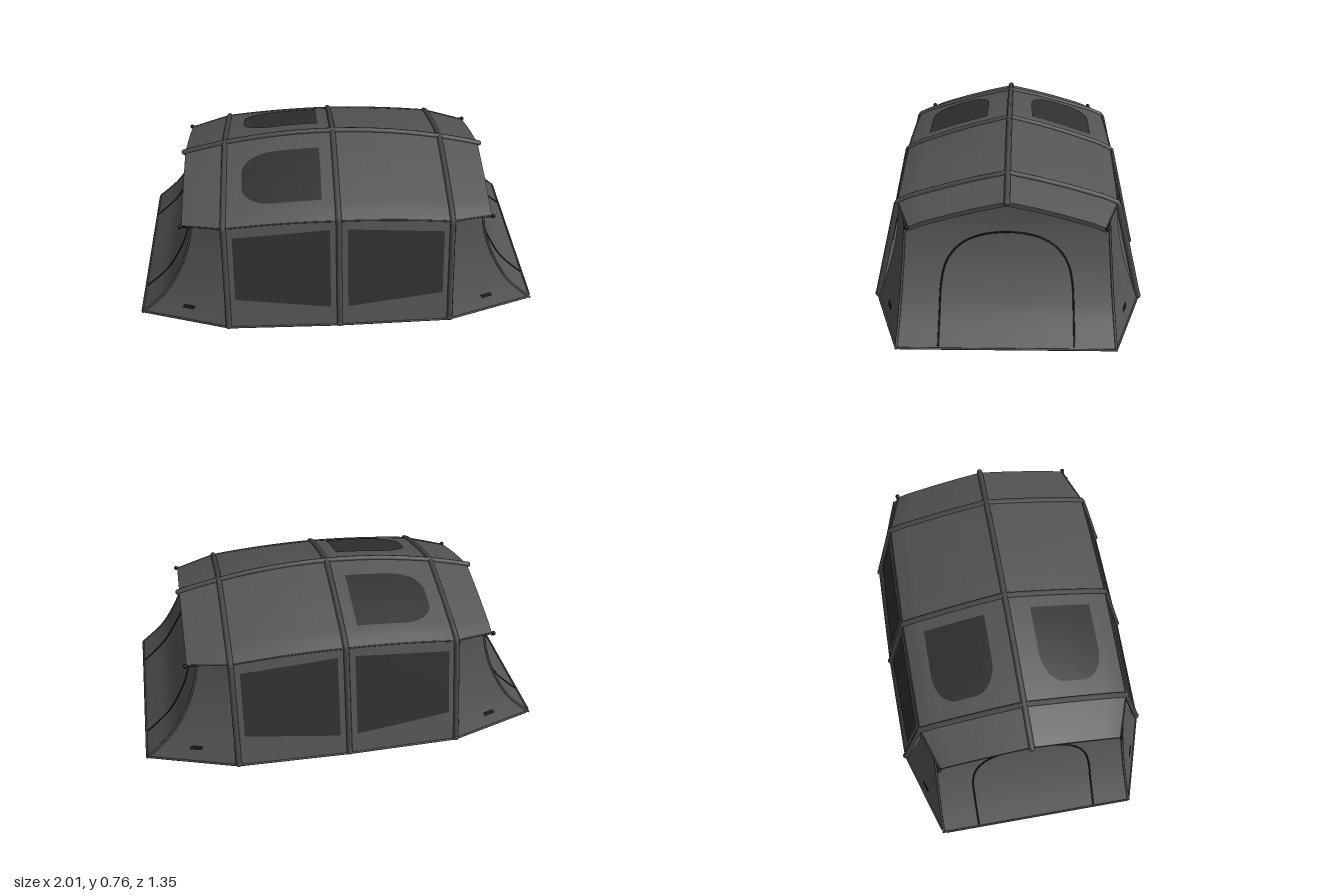
import * as THREE from 'three';

const mat = (name, color) => new THREE.MeshStandardMaterial({ name, color, side: THREE.DoubleSide });
const lerp = THREE.MathUtils.lerp;

// piecewise linear lookup in [[input, output], ...]
function along(table, t) {
  for (let i = 1; i < table.length; i++) {
    const [a, fa] = table[i - 1], [b, fb] = table[i];
    if (t <= b) return lerp(fa, fb, (t - a) / (b - a));
  }
  return table[table.length - 1][1];
}

// tent shape rules
const POLE_X = 0.555, ROOF_X = 0.76;
const ridgeY = x => 0.742 - 0.18 * x * x;
const eaveY = x => 0.563 - 0.1 * x * x;
const eaveZ = x => along([[0, 0.532], [POLE_X, 0.525], [ROOF_X, 0.455]], Math.abs(x));
const groundZ = x => along([[0, 0.658], [POLE_X, 0.648], [1, 0.505]], Math.abs(x));
const ROOF_FALL = [[0, 0], [0.3, 0.235], [0.55, 0.465], [0.87, 0.8], [1, 1]];
const roofY = (x, z) => lerp(ridgeY(x), eaveY(x), along(ROOF_FALL, Math.min(1, Math.abs(z) / eaveZ(x))));
const wallZ = (x, y) => lerp(groundZ(x), eaveZ(x), y / eaveY(x));

// flared end wall: x for a height
const flare = new THREE.SplineCurve([[0, 1], [0.12, 0.875], [0.26, 0.79], [0.38, 0.742], [0.5, 0.715], [0.66, 0.71]]
  .map(p => new THREE.Vector2(...p)));
const FLARE = flare.getPoints(40).map(p => [p.x, p.y]);
const endX = y => along(FLARE, y);

// grid surface from a rule f(u, v) -> [x, y, z]
function patch(f, nu, nv) {
  const pos = [], idx = [];
  for (let j = 0; j <= nv; j++) for (let i = 0; i <= nu; i++) pos.push(...f(i / nu, j / nv));
  for (let j = 0; j < nv; j++) for (let i = 0; i < nu; i++) {
    const a = j * (nu + 1) + i, b = a + nu + 1;
    idx.push(a, a + 1, b, b, a + 1, b + 1);
  }
  const g = new THREE.BufferGeometry();
  g.setAttribute('position', new THREE.Float32BufferAttribute(pos, 3));
  g.setIndex(idx);
  g.computeVertexNormals();
  return g;
}

// round tube through straight pieces
function tube(points, r, segments = 60) {
  const path = new THREE.CurvePath();
  const v = points.map(p => new THREE.Vector3(...p));
  for (let i = 1; i < v.length; i++) path.add(new THREE.LineCurve3(v[i - 1], v[i]));
  return new THREE.TubeGeometry(path, segments, r, 8, false);
}

const range = (n, f) => Array.from({ length: n + 1 }, (_, i) => f(i / n));

export function createModel() {
  const fabric = mat('fabric', 0x555555);
  const poleMat = mat('pole sleeve', 0x484848);
  const mesh = mat('window mesh', 0x303030);
  const seam = mat('black trim', 0x161616);
  const tent = new THREE.Group();
  tent.name = 'tent';
  const add = (name, geo, material) => {
    const m = new THREE.Mesh(geo, material);
    m.name = name;
    tent.add(m);
    return m;
  };

  // ground sheet
  const rim = [[-1, 0.505], [-POLE_X, 0.648], [0, 0.658], [POLE_X, 0.648], [1, 0.505]];
  const outline = [...rim, ...rim.map(([x, z]) => [x, -z]).reverse()];
  const floor = new THREE.ShapeGeometry(new THREE.Shape(outline.map(p => new THREE.Vector2(...p))));
  add('groundSheet', floor.rotateX(Math.PI / 2).translate(0, 0.002, 0), fabric);
  add('groundHem', tube([...outline, outline[0]].map(([x, z]) => [x, 0.005, z]), 0.005, 160), poleMat);

  for (const sz of [1, -1]) {
    // roof slopes, bay by bay
    const bays = [-ROOF_X, -POLE_X, 0, POLE_X, ROOF_X];
    for (let b = 0; b < 4; b++) {
      add('roofPanel', patch((u, v) => {
        const x = lerp(bays[b], bays[b + 1], u), z = eaveZ(x) * v;
        return [x, roofY(x, z), sz * z];
      }, 10, 20), fabric);
    }
    // seam between roof and wall
    add('eaveSeam', tube(range(40, t => {
      const x = lerp(-ROOF_X, ROOF_X, t);
      return [x, eaveY(x), sz * eaveZ(x)];
    }), 0.004, 80), poleMat);

    // roof window, round at one end
    add('roofWindow', patch((u, v) => {
      const x = lerp(-0.465, -0.075, u * u);
      const k = Math.max(0, (-0.31 - x) / 0.155);
      const half = 0.045 + 0.11 * Math.sqrt(Math.max(0, 1 - k * k));
      const z = 0.272 + half * (2 * v - 1);
      return [x, roofY(x, z) + 0.005, sz * z];
    }, 20, 20), mesh);

    for (const sx of [1, -1]) {
      // side wall and its window
      add('sideWall', patch((u, v) => {
        const x = sx * POLE_X * u, y = v * eaveY(x);
        return [x, y, sz * wallZ(x, y)];
      }, 8, 4), fabric);
      add('sideWindow', patch((u, v) => {
        const x = sx * lerp(0.043, 0.515, u);
        const y = lerp(lerp(0.11, 0.16, u), lerp(0.522, 0.487, u), v);
        return [x, y, sz * (wallZ(x, y) + 0.005)];
      }, 6, 4), mesh);

      // hollow corner panel between pole and end wall
      const corner = (u, v, out = 0) => {
        const y = v * lerp(eaveY(POLE_X), 0.512, u);
        const z = lerp(0.522 + 0.126 * (1 - v) ** 1.8, 0.505 - 0.032 * v, u);
        return [sx * (lerp(POLE_X, endX(y), u) + out * 0.4), y, sz * (z + out)];
      };
      add('cornerPanel', patch((u, v) => corner(u, v), 12, 20), fabric);
      add('cornerSeam', tube(range(24, t => corner(1, t)), 0.006), poleMat);
      add('cornerTab', patch((u, v) => corner(lerp(0.46, 0.62, u), lerp(0.125, 0.165, v), 0.006), 2, 2), seam);

      // toggle under the roof corner
      const toggle = add('toggle', new THREE.SphereGeometry(0.011, 12, 8), seam);
      toggle.position.set(sx * 0.766, 0.506, sz * 0.46);
      add('toggleCord', tube([[sx * 0.715, 0.508, sz * 0.468], [sx * 0.766, 0.506, sz * 0.46]], 0.004, 4), seam);
    }
  }

  for (const sx of [1, -1]) {
    // flared end wall
    add('endWall', patch((u, v) => {
      const s = 2 * u - 1;
      const top = roofY(0.71, 0.473 * s) - 0.003;
      const y = v * top;
      return [sx * endX(y), y, s * (0.505 - 0.032 * v)];
    }, 24, 24), fabric);

    // door zip
    const zip = new THREE.CatmullRomCurve3([[0.312, 0.01], [0.311, 0.12], [0.305, 0.24], [0.285, 0.32], [0.235, 0.39],
      [0.15, 0.44], [0, 0.463], [-0.15, 0.44], [-0.235, 0.39], [-0.285, 0.32], [-0.305, 0.24], [-0.311, 0.12],
      [-0.312, 0.01]].map(([z, y]) => new THREE.Vector3(0, y, z)));
    add('doorZip', tube(zip.getPoints(60).map(p => [sx * (endX(p.y) + 0.002), p.y, p.z]), 0.004, 100), seam);

    // hem hanging from the roof end
    add('roofEndHem', patch((u, v) => {
      const z = 0.455 * (2 * u - 1);
      return [sx * ROOF_X, roofY(ROOF_X, z) - 0.022 * v, z];
    }, 40, 1), poleMat);
  }

  // hoop poles
  for (const x of [-POLE_X, 0, POLE_X]) {
    const roof = range(40, t => {
      const z = eaveZ(x) * (1 - 2 * t);
      return [x, roofY(x, z), z];
    });
    add('hoopPole', tube([[x, 0.006, groundZ(x)], ...roof, [x, 0.006, -groundZ(x)]], 0.0145, 140), poleMat);
    for (const s of [1, -1]) {
      add('poleFoot', new THREE.SphereGeometry(0.0145, 12, 8), poleMat).position.set(x, 0.0145, s * groundZ(x));
    }
  }

  // ridge pole
  add('ridgePole', tube(range(40, t => {
    const x = lerp(-0.765, 0.765, t);
    return [x, ridgeY(x), 0];
  }), 0.0145, 60), poleMat);
  for (const s of [1, -1]) {
    add('ridgePoleCap', new THREE.SphereGeometry(0.0145, 12, 8), poleMat).position.set(s * 0.765, ridgeY(0.765), 0);
  }
  return tent;
}
